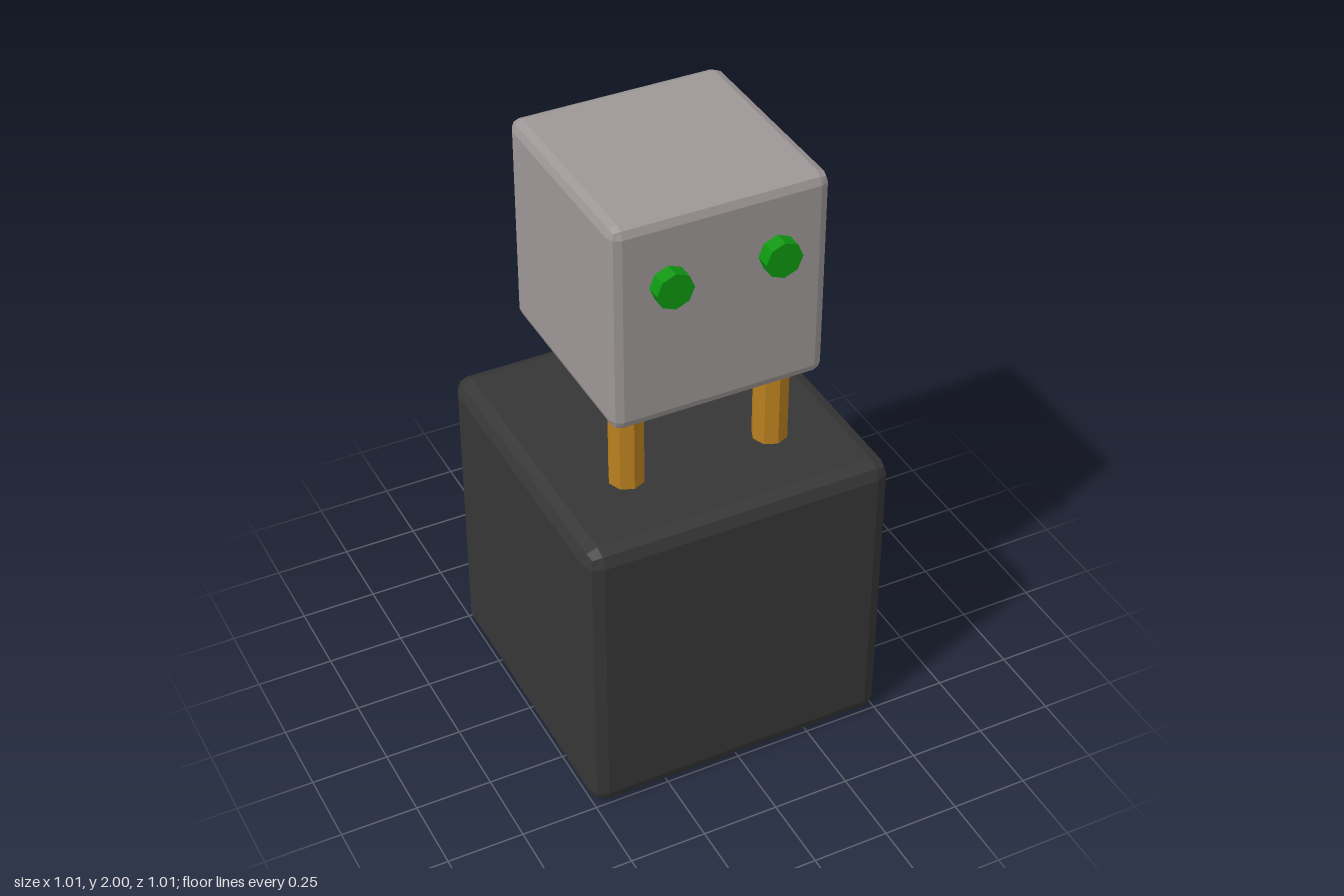
import * as THREE from 'three';
import { RoundedBoxGeometry } from 'three/addons/geometries/RoundedBoxGeometry.js';

function material(name, color) {
  const m = new THREE.MeshStandardMaterial({ color, flatShading: true });
  m.name = name;
  return m;
}

export function createModel() {
  const model = new THREE.Group();
  const charcoal = material('charcoal', 0x363636);
  const grey = material('warm grey', 0x9d9696);
  const ochre = material('ochre', 0xb9801f);
  const green = material('green', 0x0f9611);

  const add = (name, geometry, mat, x, y, z) => {
    const mesh = new THREE.Mesh(geometry, mat);
    mesh.name = name;
    mesh.position.set(x, y, z);
    model.add(mesh);
    return mesh;
  };

  // Cube with edges bevelled in two flat facets
  const bevelledCube = (size, bevel) => {
    const g = new RoundedBoxGeometry(size, size, size, 1, bevel);
    g.computeVertexNormals();
    return g;
  };

  // Large base cube and smaller head cube
  add('body', bevelledCube(1.015, 0.05), charcoal, 0, 0.5095, 0);
  add('head', bevelledCube(0.692, 0.034), grey, 0, 1.654, 0);

  // Three eight-sided posts: two in front, one behind
  const postGeometry = new THREE.CylinderGeometry(0.057, 0.057, 0.35, 8);
  for (const [name, x, z] of [
    ['frontLeftPost', 0.243, 0.21],
    ['frontRightPost', -0.243, 0.21],
    ['backPost', 0, -0.215],
  ]) add(name, postGeometry, ochre, x, 1.165, z);

  // Eight-sided eyes standing out from the face
  const eyeGeometry = new THREE.CylinderGeometry(0.059, 0.059, 0.08, 8);
  eyeGeometry.rotateX(Math.PI / 2);
  for (const [name, x] of [['leftEye', 0.172], ['rightEye', -0.172]]) {
    add(name, eyeGeometry, green, x, 1.785, 0.355);
  }

  return model;
}
